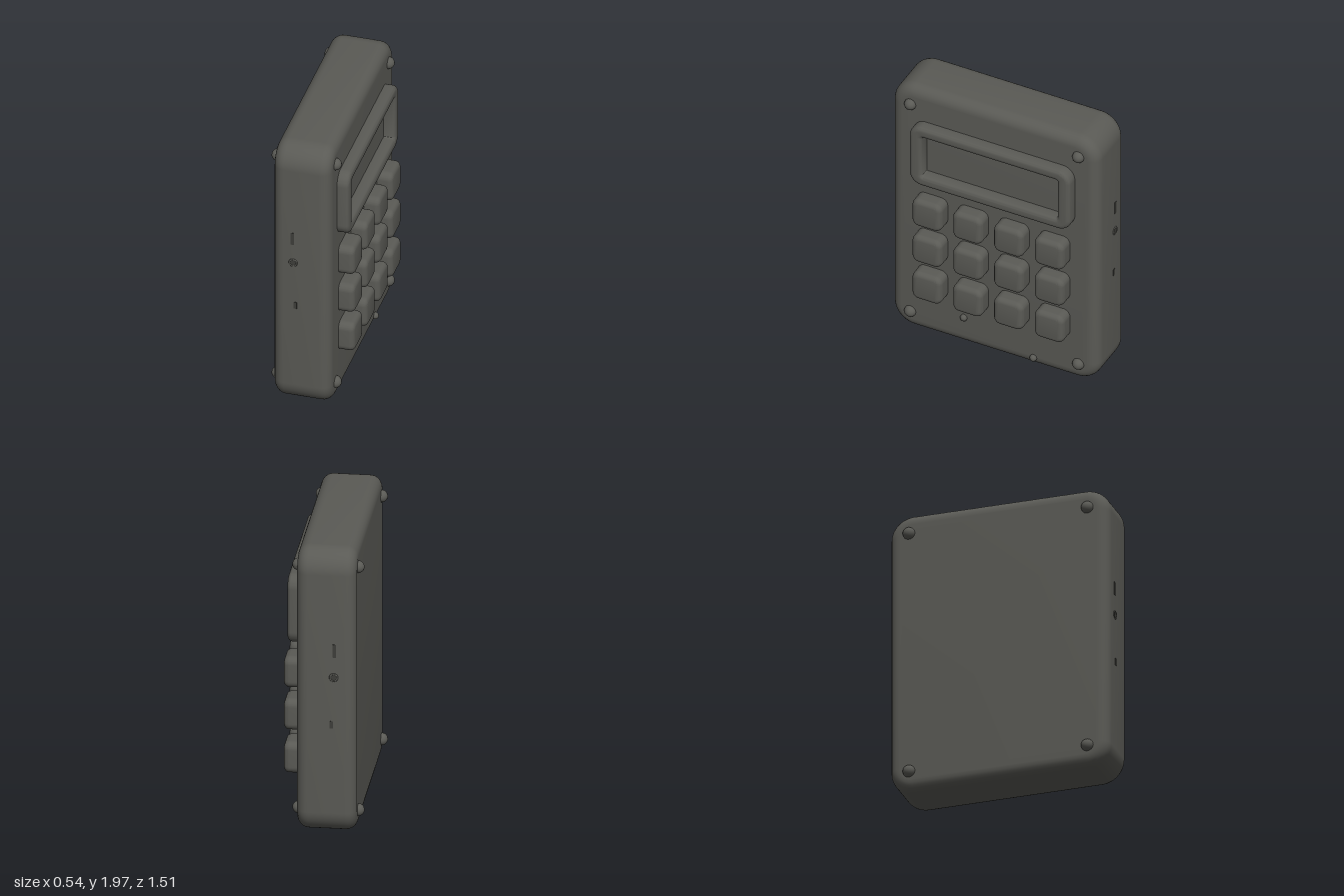
import * as THREE from 'three';
import { toCreasedNormals } from 'three/addons/utils/BufferGeometryUtils.js';

// Rounded rectangle path, centred on the origin
function roundRect(path, w, h, r) {
  const x = w / 2, y = h / 2;
  path.moveTo(-x + r, -y);
  path.lineTo(x - r, -y);
  path.absarc(x - r, -y + r, r, -Math.PI / 2, 0);
  path.lineTo(x, y - r);
  path.absarc(x - r, y - r, r, 0, Math.PI / 2);
  path.lineTo(-x + r, y);
  path.absarc(-x + r, y - r, r, Math.PI / 2, Math.PI);
  path.lineTo(-x, -y + r);
  path.absarc(-x + r, -y + r, r, Math.PI, Math.PI * 1.5);
  return path;
}

// Soft-edged slab from x0 to x1, with an optional opening, facing +x
function slab(w, h, r, bevel, x0, x1, hole) {
  const b = bevel;
  const shape = roundRect(new THREE.Shape(), w - 2 * b, h - 2 * b, r - b);
  if (hole) shape.holes.push(roundRect(new THREE.Path(), hole.w + 2 * b, hole.h + 2 * b, hole.r + b));
  const geo = new THREE.ExtrudeGeometry(shape, {
    depth: x1 - x0 - 2 * b, bevelSize: b, bevelThickness: b, bevelSegments: 6, curveSegments: 8,
  });
  geo.translate(0, 0, x0 + b);
  geo.rotateY(Math.PI / 2);
  return toCreasedNormals(geo, 0.7);
}

export function createModel() {
  const model = new THREE.Group();
  model.name = 'calculator';
  const casing = new THREE.MeshStandardMaterial({ color: 0x5a5a55 });
  casing.name = 'dark grey casing';
  const recess = new THREE.MeshStandardMaterial({ color: 0x3e3e3a });
  recess.name = 'socket shadow grey';

  const add = (name, geo, x, y, z, mat = casing) => {
    const mesh = new THREE.Mesh(geo, mat);
    mesh.name = name;
    mesh.position.set(x, y, z);
    model.add(mesh);
    return mesh;
  };

  // Case and raised display frame
  add('body', slab(1.5, 1.97, 0.16, 0.075, -0.237, 0.152), 0, 1, 0);
  add('displayFrame', slab(1.17, 0.475, 0.09, 0.03, 0.1, 0.23, { w: 0.98, h: 0.31, r: 0.01 }), 0, 1.5, 0);

  // Keypad, four columns by three rows
  const keyGeo = slab(0.215, 0.215, 0.05, 0.035, 0.08, 0.257);
  for (const y of [1.05, 0.755, 0.455]) {
    for (const z of [0.445, 0.15, -0.147, -0.442]) add('key', keyGeo, 0, y, z);
  }

  // Corner studs on the front and back
  const studGeo = new THREE.SphereGeometry(0.041, 16, 12);
  for (const y of [0.15, 1.845]) {
    for (const z of [0.61, -0.61]) {
      add('frontStud', studGeo, 0.15, y, z);
      add('backStud', studGeo, -0.238, y, z);
    }
  }

  // Small lumps below the keypad
  for (const [y, z] of [[0.085, -0.285], [0.235, 0.22]]) {
    add('lump', new THREE.SphereGeometry(0.025, 10, 8), 0.155, y, z);
  }

  // Sockets on both narrow sides
  for (const side of [1, -1]) {
    const z = side * 0.75;
    add('upperSlot', new THREE.BoxGeometry(0.022, 0.09, 0.006), -0.1, 1.305, z, recess);
    add('lowerSlot', new THREE.BoxGeometry(0.02, 0.05, 0.006), -0.08, 0.79, z, recess);
    const hole = new THREE.CylinderGeometry(0.022, 0.022, 0.006, 16).rotateX(Math.PI / 2);
    add('roundSocket', hole, -0.095, 1.12, z, recess);
    add('socketRim', new THREE.TorusGeometry(0.024, 0.006, 8, 20), -0.095, 1.12, z);
  }
  return model;
}
